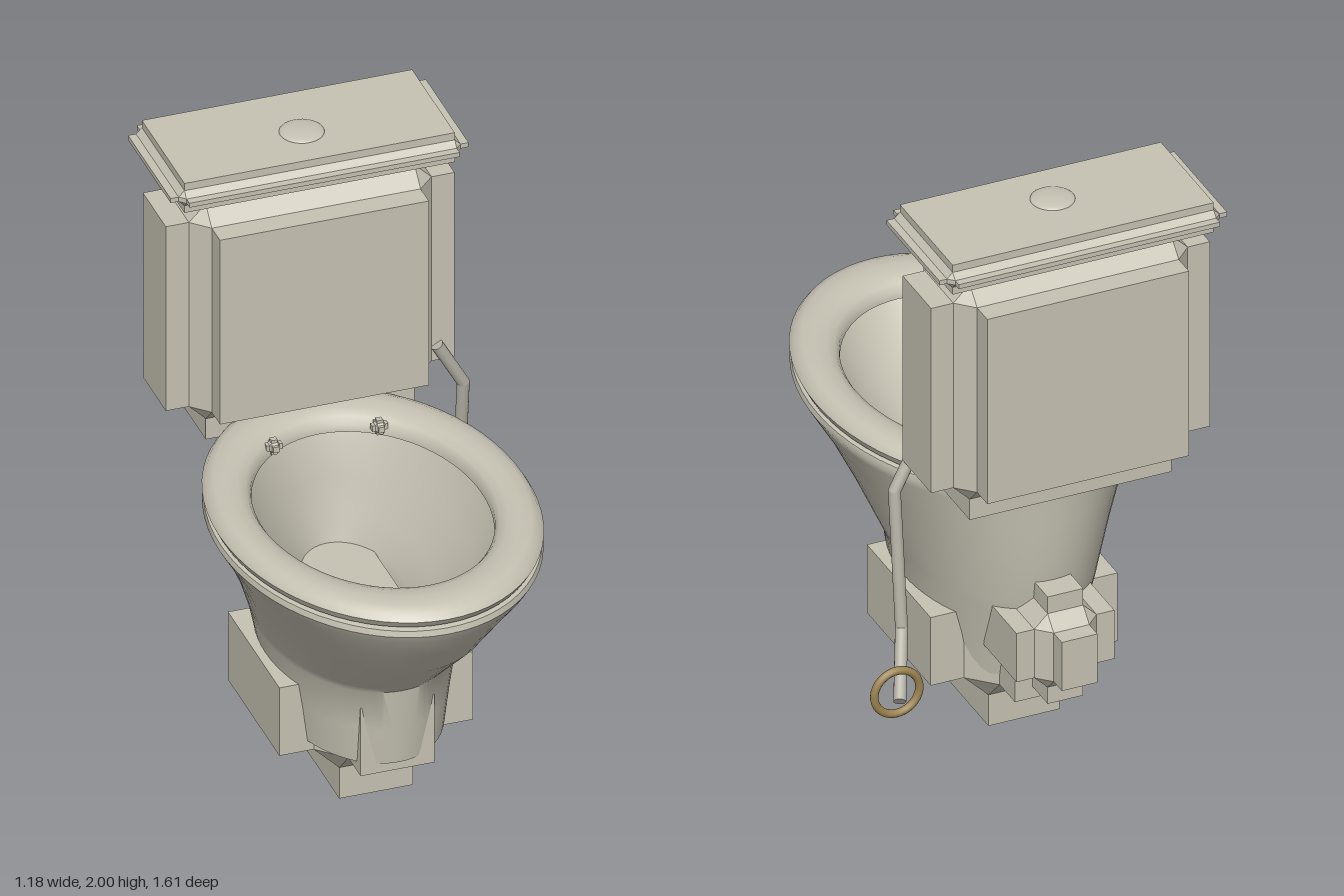
import * as THREE from 'three';
import { mergeGeometries, toCreasedNormals } from 'three/addons/utils/BufferGeometryUtils.js';
import { ConvexGeometry } from 'three/addons/geometries/ConvexGeometry.js';

const CX = -0.09; // centre line of the ceramic parts

export function createModel() {
  const model = new THREE.Group();
  model.name = 'toilet';
  const ceramic = new THREE.MeshStandardMaterial({ name: 'ceramic', color: 0xc6c2b3 });
  const steel = new THREE.MeshStandardMaterial({ name: 'steel', color: 0xb4b1a5 });
  const brass = new THREE.MeshStandardMaterial({ name: 'brass', color: 0x9c8350 });

  function add(name, geometry, material, x = 0, y = 0, z = 0) {
    const mesh = new THREE.Mesh(geometry, material);
    mesh.name = name;
    mesh.position.set(x, y, z);
    model.add(mesh);
    return mesh;
  }

  // Chamfered core whose six flat faces stand proud as slabs.
  // half: half sizes of the slabs' faces; mid, out: reach of core and slabs beyond them
  function notchedBox(half, mid, out) {
    const points = [];
    const parts = [];
    for (let axis = 0; axis < 3; axis++) {
      const size = half.map((h, i) => 2 * (i === axis ? h + out : h));
      parts.push(new THREE.BoxGeometry(...size).toNonIndexed());
      for (const sx of [-1, 1]) for (const sy of [-1, 1]) for (const sz of [-1, 1]) {
        const signs = [sx, sy, sz];
        points.push(new THREE.Vector3(
          ...half.map((h, i) => signs[i] * (i === axis ? h + mid : h))));
      }
    }
    const core = new ConvexGeometry(points);
    parts.forEach((p) => p.deleteAttribute('uv'));
    return mergeGeometries([core, ...parts]);
  }

  // Skin over elliptical rings given as [y, half width, centre z, half depth]
  function loft(rings, crease, n = 64) {
    const pos = [];
    const index = [];
    rings.forEach(([y, a, cz, c], j) => {
      for (let i = 0; i < n; i++) {
        const t = (i / n) * Math.PI * 2;
        pos.push(a * Math.cos(t), y, cz + c * Math.sin(t));
        if (j < rings.length - 1) {
          const p = j * n + i;
          const q = j * n + ((i + 1) % n);
          if (rings[j + 1][1] > 0) index.push(p, p + n, q + n);
          if (a > 0) index.push(p, q + n, q);
        }
      }
    });
    const geometry = new THREE.BufferGeometry();
    geometry.setAttribute('position', new THREE.Float32BufferAttribute(pos, 3));
    geometry.setIndex(index);
    return toCreasedNormals(geometry, crease);
  }

  // Bowl: outer wall upward, over the rim, then down the inside
  add('bowl', loft([
    [0.23, 0, -0.05, 0],
    [0.23, 0.255, -0.05, 0.405],
    [0.36, 0.272, -0.055, 0.425],
    [0.505, 0.298, -0.07, 0.455],
    [0.54, 0.308, -0.055, 0.478],
    [0.70, 0.368, 0.022, 0.578],
    [0.83, 0.427, 0.072, 0.638],
    [0.925, 0.482, 0.108, 0.68],
    [0.955, 0.499, 0.115, 0.69],
    [0.975, 0.495, 0.115, 0.685],
    [0.98, 0.475, 0.115, 0.66],
    [0.98, 0.37, 0.12, 0.515],
    [0.94, 0.352, 0.11, 0.49],
    [0.84, 0.295, 0.07, 0.425],
    [0.72, 0.21, -0.01, 0.32],
    [0.64, 0.15, -0.07, 0.235],
    [0.60, 0.132, -0.085, 0.21],
    [0.52, 0.11, -0.09, 0.17],
    [0.52, 0, -0.09, 0],
  ], 0.7), ceramic, CX);

  // Rounded seat ring
  const seatProfile = [[0.355, 0.985], [0.357, 1.008], [0.37, 1.028], [0.395, 1.041],
    [0.43, 1.046], [0.465, 1.043], [0.488, 1.03], [0.5, 1.01], [0.488, 0.985]];
  const seatRings = seatProfile.map(([r, y]) => [y, r, 0.115, r * 1.385]).reverse();
  seatRings.push(seatRings[0]);
  add('seat', loft(seatRings, 0.9), ceramic, CX);

  // Seat hinges
  for (const side of [-1, 1]) {
    add('seatHinge', notchedBox([0.01, 0.01, 0.01], 0.006, 0.016), ceramic,
      CX + side * 0.172, 1.018, -0.31);
  }

  // Foot, trap outlet, tank and lid
  add('foot', notchedBox([0.12, 0.1225, 0.235], 0.083, 0.195), ceramic, CX, 0.3175, -0.09);
  add('trapOutlet', notchedBox([0.06, 0.0875, 0.13], 0.045, 0.105), ceramic, CX, 0.4275, -0.5);
  add('tank', notchedBox([0.34, 0.3325, 0.105], 0.055, 0.13), ceramic, CX, 1.4525, -0.5625);
  add('tankLid', notchedBox([0.44, 0.008, 0.195], 0.019, 0.045), ceramic, CX, 1.9325, -0.566);

  // Flush button dome
  const dome = new THREE.SphereGeometry(0.07, 32, 10, 0, Math.PI * 2, 0, Math.PI / 2);
  dome.scale(1, 0.2, 1);
  add('flushButton', dome, ceramic, CX, 1.986, -0.535);

  // Bent lever rod with rounded joints
  const bends = [[0.32, 1.18, -0.45], [0.41, 1.02, -0.462], [0.417, 0.567, -0.53], [0.505, 0.425, -0.71]]
    .map((p) => new THREE.Vector3(...p));
  const up = new THREE.Vector3(0, 1, 0);
  for (let i = 0; i < bends.length - 1; i++) {
    const along = bends[i + 1].clone().sub(bends[i]);
    const middle = bends[i].clone().addScaledVector(along, 0.5);
    const rod = add('leverRod', new THREE.CylinderGeometry(0.02, 0.02, along.length(), 16), steel,
      middle.x, middle.y, middle.z);
    rod.quaternion.setFromUnitVectors(up, along.normalize());
    if (i > 0) {
      add('leverJoint', new THREE.SphereGeometry(0.02, 16, 10), steel, bends[i].x, bends[i].y, bends[i].z);
    }
  }

  // Pull ring
  add('pullRing', new THREE.TorusGeometry(0.076, 0.013, 12, 40), brass, 0.5, 0.44, -0.677);

  return model;
}
